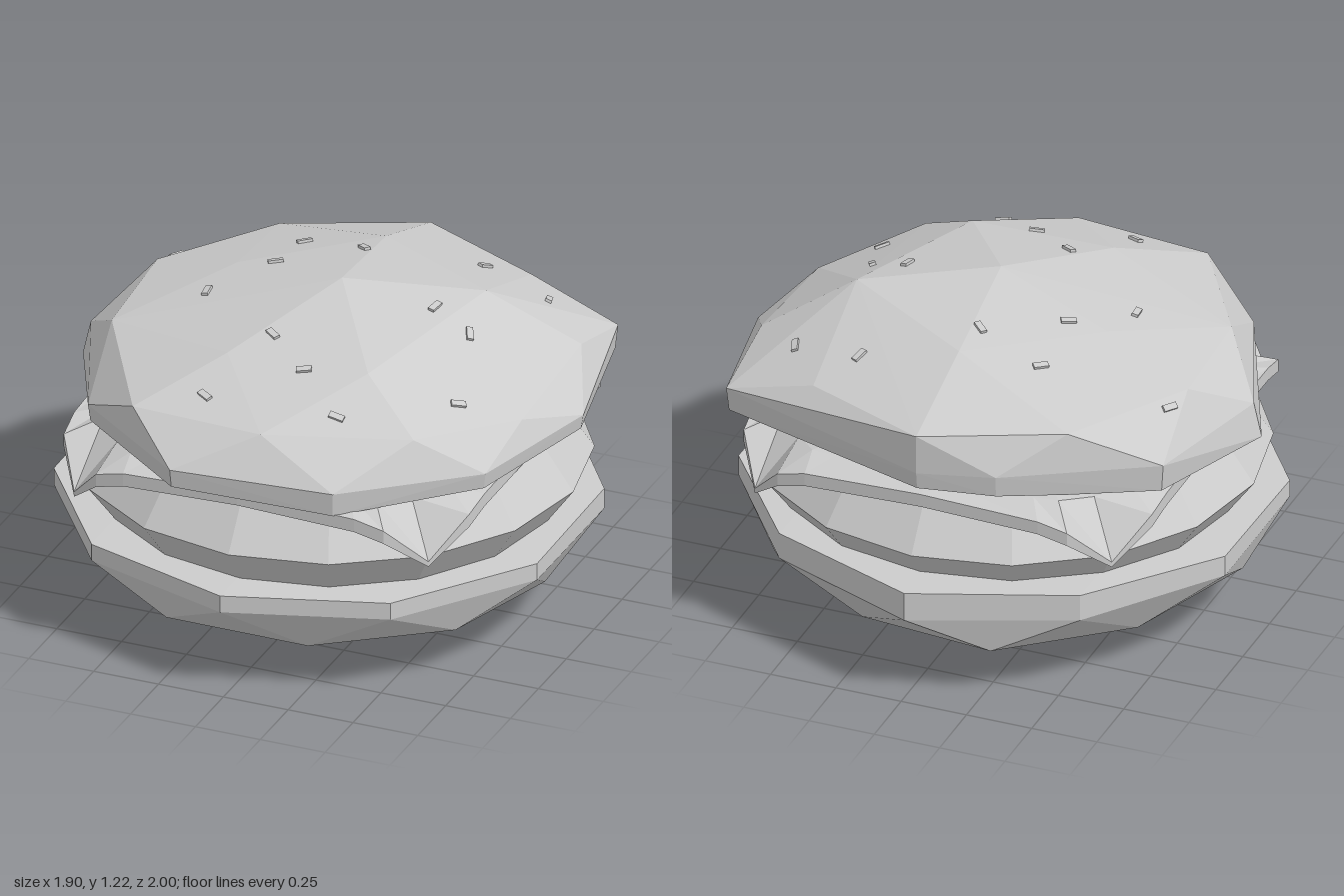
import * as THREE from 'three';
import { ConvexGeometry } from 'three/addons/geometries/ConvexGeometry.js';

const V = (x, y, z) => new THREE.Vector3(x, y, z);

// Point on a circle, angle in degrees from +z towards +x
const polar = (r, deg, y) => {
  const a = THREE.MathUtils.degToRad(deg);
  return V(r * Math.sin(a), y, r * Math.cos(a));
};

// One normal per face for the low-poly look
function faceted(geometry) {
  const g = geometry.index ? geometry.toNonIndexed() : geometry;
  g.computeVertexNormals();
  return g;
}

// Skin a stack of rings that all have the same number of points
function loft(rings) {
  const pos = [];
  const n = rings[0].length;
  for (let r = 0; r < rings.length - 1; r++) {
    for (let i = 0; i < n; i++) {
      const j = (i + 1) % n, a = rings[r], b = rings[r + 1];
      for (const p of [a[i], b[i], b[j], a[i], b[j], a[j]]) pos.push(p.x, p.y, p.z);
    }
  }
  const g = new THREE.BufferGeometry();
  g.setAttribute('position', new THREE.Float32BufferAttribute(pos, 3));
  return faceted(g);
}

// Lower half of a flattened icosphere with a short upright rim, pulled out at the back
function bottomBunGeometry() {
  const pts = [V(0, 0, 0)];
  for (let i = 0; i < 5; i++) {
    const a = 270 + 72 * i;
    pts.push(polar(0.526, a, 0.05), polar(0.894, a, 0.19), polar(0.85, a + 36, 0.165));
  }
  for (let i = 0; i < 10; i++) {
    const low = polar(1, 36 * i, 0.335);
    pts.push(low, V(low.x, 0.4 + 0.045 * Math.max(0, -low.z), low.z));
  }
  for (const p of pts) {
    const pull = p.z < -0.82 ? 0.05 : 0;
    p.set(p.x * 0.98 - 0.012, p.y, p.z * 0.975 + 0.025 - pull);
  }
  return new ConvexGeometry(pts);
}

// Lopsided faceted dome
function topBunGeometry() {
  const crown = [
    [0.04, 1.22, 0.03], [0.51, 1.17, -0.17], [0, 1.145, -0.46], [-0.42, 1.125, -0.1],
    [-0.2, 1.095, 0.5], [0.33, 1.105, 0.47],
  ];
  const shoulder = [
    [0.83, 0.97, -0.28], [0.83, 0.92, 0.25], [0.57, 0.96, 0.62], [0.07, 0.98, 0.83],
    [-0.44, 0.97, 0.79], [-0.74, 1.01, 0.28], [-0.77, 1.02, -0.2], [-0.49, 1.01, -0.64],
    [0, 1.01, -0.86], [0.48, 1.0, -0.65],
  ];
  // Outer rim, with a lower edge under each point: x, upper y, z, lower y
  const rim = [
    [0.95, 0.835, -0.02, 0.78], [0.8, 0.82, 0.51, 0.76], [0.37, 0.825, 0.88, 0.735],
    [-0.22, 0.845, 0.97, 0.775], [-0.69, 0.84, 0.61, 0.775], [-0.92, 0.86, 0.05, 0.76],
    [-0.79, 0.86, -0.48, 0.755], [-0.5, 0.86, -0.66, 0.77], [-0.28, 0.87, -0.8, 0.79],
    [0, 0.86, -0.86, 0.795], [0.83, 0.89, -0.61, 0.8],
  ];
  const pts = [...crown, ...shoulder, [-0.95, 0.73, 0.05]].map((p) => V(...p));
  for (const [x, hi, z, lo] of rim) pts.push(V(x, hi, z), V(x * 0.99, lo, z * 0.99));
  return new ConvexGeometry(pts);
}

// Square slice whose four corners fold down over the patty
function cheeseGeometry() {
  const edge = [[-0.56, 0.705, 0.79], [-0.45, 0.735, 0.8], [0, 0.755, 0.81],
    [0.45, 0.735, 0.8], [0.56, 0.705, 0.79], [0.69, 0.56, 0.69]];
  const outer = [], inner = [];
  for (let k = 0; k < 4; k++) {
    const turn = (v) => v.applyAxisAngle(V(0, 1, 0), k * Math.PI / 2);
    edge.forEach(([x, y, z], i) => {
      outer.push(turn(V(x, y, z)));
      inner.push(turn(i === 5 ? V(0.57, 0.735, 0.57) : V(x * 0.85, 0.755, z * 0.85)));
    });
  }
  const centre = (y) => outer.map(() => V(0, y, 0));
  const lower = (ring) => ring.map((p) => V(p.x, p.y - (p.y < 0.6 ? 0.02 : 0.05), p.z));
  const g = loft([centre(0.76), inner, outer, lower(outer), lower(inner), centre(0.71)]);
  return faceted(g.scale(0.99, 1, 1.05));
}

export function createModel() {
  const group = new THREE.Group();
  group.name = 'burger';
  const grey = new THREE.MeshStandardMaterial({ color: 0xcccccc });
  grey.name = 'light grey';

  const add = (name, geometry, z = 0) => {
    const mesh = new THREE.Mesh(geometry, grey);
    mesh.name = name;
    mesh.position.z = z;
    group.add(mesh);
    return mesh;
  };

  add('bottomBun', bottomBunGeometry());

  // Patty, widest at its middle
  const profile = [[0, 0.395], [0.82, 0.395], [0.93, 0.545], [0.815, 0.705], [0, 0.705]]
    .map(([r, y]) => new THREE.Vector2(r, y));
  add('patty', faceted(new THREE.LatheGeometry(profile, 16, Math.PI / 8)), 0.025);

  add('cheese', cheeseGeometry(), 0.025);
  const topBun = add('topBun', topBunGeometry());

  // Seeds lie on the dome: x, z, heading in degrees
  const seeds = [
    [0.36, -0.51, 65], [0.63, -0.45, -75], [-0.28, -0.38, 40], [-0.02, -0.31, -40],
    [-0.28, -0.12, 30], [-0.45, 0.1, -85], [0.39, 0.01, 80], [0.54, 0.05, -60],
    [0.63, 0.36, 35], [-0.08, 0.37, -35], [0.1, 0.51, 20], [0.29, 0.66, 0],
    [-0.2, 0.7, -30], [-0.74, -0.3, 55],
  ];
  const seedGeometry = new THREE.BoxGeometry(0.055, 0.02, 0.024);
  const ray = new THREE.Raycaster();
  topBun.updateMatrixWorld(true);
  for (const [x, z, deg] of seeds) {
    ray.set(V(x, 3, z), V(0, -1, 0));
    const hit = ray.intersectObject(topBun)[0];
    if (!hit) continue;
    const seed = add('seed', seedGeometry);
    seed.position.copy(hit.point);
    seed.quaternion.setFromUnitVectors(V(0, 1, 0), hit.face.normal);
    seed.rotateY(THREE.MathUtils.degToRad(deg));
  }
  return group;
}
